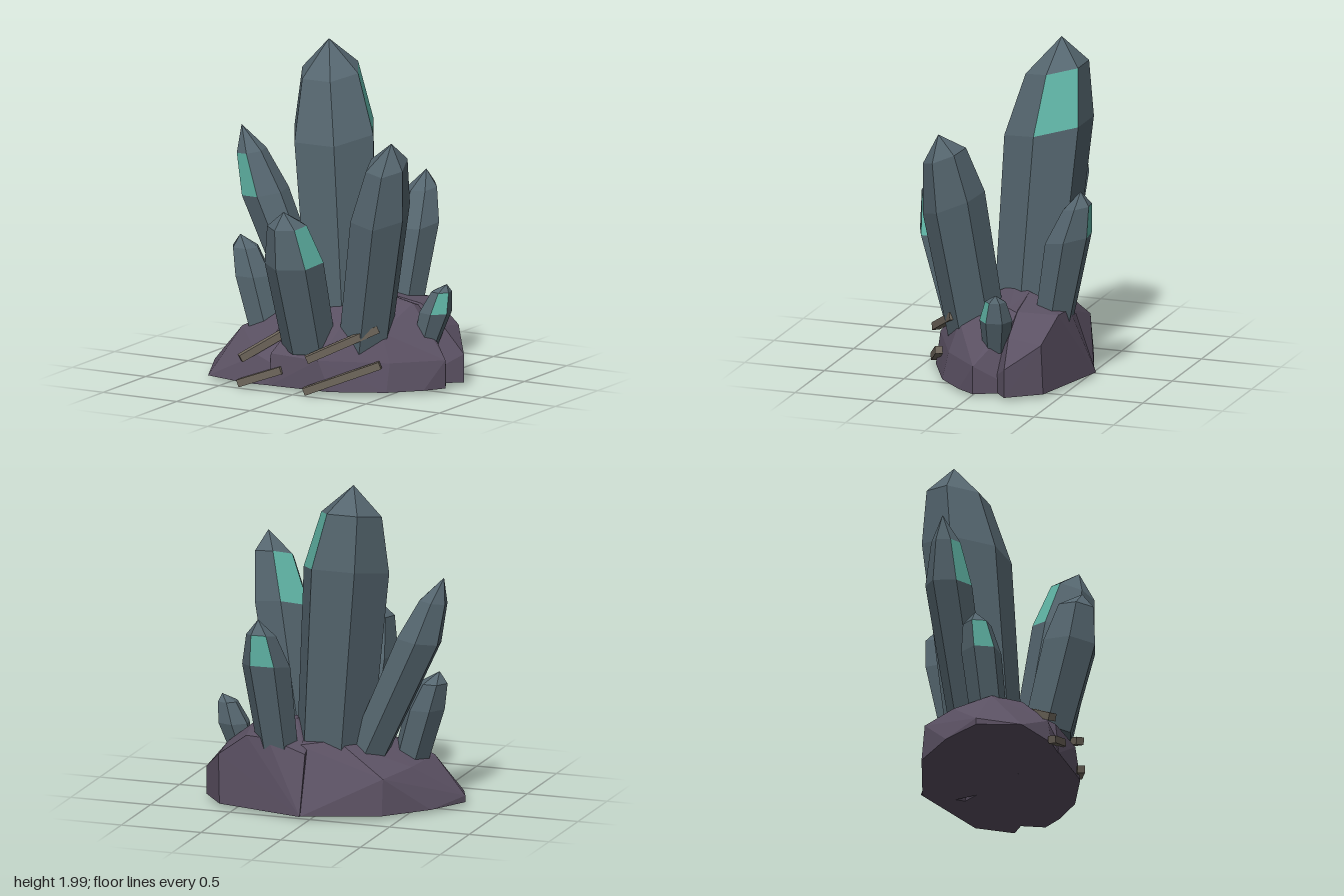
import * as THREE from 'three';
import { ConvexGeometry } from 'three/addons/geometries/ConvexGeometry.js';

const material = (name, color) => {
  const m = new THREE.MeshStandardMaterial({ color, flatShading: true });
  m.name = name;
  return m;
};

const SIDES = 6;

// Flat-shaded mesh from a list of triangle corners
function facetMesh(name, corners, mat) {
  const geo = new THREE.BufferGeometry().setFromPoints(corners);
  geo.computeVertexNormals();
  const mesh = new THREE.Mesh(geo, mat);
  mesh.name = name;
  return mesh;
}

// Six-sided crystal: rings of [x, y, z, radius] from root to shoulder, then a tip.
// One facet between the widest ring and the shoulder is coloured as a glint.
function crystal({ name, rings, tip, phase, glint, tilt = [0, 0] }, stone, shine) {
  const loops = rings.map(([x, y, z, r]) =>
    Array.from({ length: SIDES }, (_, i) => {
      const a = THREE.MathUtils.degToRad(phase + i * 360 / SIDES);
      const dx = r * Math.cos(a), dz = r * Math.sin(a);
      return new THREE.Vector3(x + dx, y + tilt[0] * dx + tilt[1] * dz, z + dz);
    }));
  const top = new THREE.Vector3(...tip);
  const root = new THREE.Vector3(...rings[0].slice(0, 3));
  const body = [], shiny = [];
  const last = loops.length - 1;
  for (let i = 0; i < SIDES; i++) {
    const j = (i + 1) % SIDES;
    for (let k = 0; k < last; k++) {
      const [lo, up] = [loops[k], loops[k + 1]];
      const target = k === last - 1 && i === glint ? shiny : body;
      target.push(lo[i], up[i], up[j], lo[i], up[j], lo[j]);
    }
    body.push(loops[last][i], top, loops[last][j]);
    body.push(root, loops[0][i], loops[0][j]);
  }
  const group = new THREE.Group();
  group.name = name;
  group.add(facetMesh(name + 'Body', body, stone), facetMesh(name + 'Glint', shiny, shine));
  return group;
}

const CRYSTALS = [
  { name: 'mainCrystal', phase: 0, glint: 5, tilt: [0, -0.2], tip: [-0.18, 2, -0.24],
    rings: [[-0.01, 0.3, -0.115, 0.232], [-0.115, 1.465, -0.185, 0.268], [-0.16, 1.815, -0.22, 0.19]] },
  { name: 'tallRightCrystal', phase: 14, glint: 3, tilt: [-0.05, -0.4], tip: [0.54, 1.54, 0.27],
    rings: [[0.28, 0.3, 0.125, 0.166], [0.43, 1.1, 0.213, 0.183], [0.495, 1.4, 0.248, 0.128]] },
  { name: 'leaningLeftCrystal', phase: 80, glint: 0, tilt: [0.12, -0.1], tip: [-0.7, 1.45, -0.11],
    rings: [[-0.23, 0.35, -0.13, 0.125], [-0.55, 1.06, -0.13, 0.14], [-0.635, 1.3, -0.115, 0.088]] },
  { name: 'smallLeftCrystal', phase: 0, glint: 2, tip: [-0.61, 0.83, 0.06],
    rings: [[-0.41, 0.22, 0.07, 0.11], [-0.52, 0.6, 0.065, 0.12], [-0.575, 0.76, 0.06, 0.085]] },
  { name: 'frontCrystal', phase: 38, glint: 5, tilt: [0, -0.1], tip: [-0.05, 1.11, 0.52],
    rings: [[-0.01, 0.25, 0.28, 0.16], [-0.03, 0.79, 0.43, 0.175], [-0.05, 1.02, 0.48, 0.118]] },
  { name: 'backCrystal', phase: 52, glint: 3, tilt: [0, -0.2], tip: [0.31, 1.21, -0.54],
    rings: [[0.25, 0.32, -0.34, 0.12], [0.29, 0.91, -0.455, 0.145], [0.3, 1.11, -0.515, 0.09]] },
  { name: 'smallRightCrystal', phase: 18, glint: 0, tip: [0.68, 0.63, -0.14],
    rings: [[0.56, 0.26, -0.1, 0.075], [0.615, 0.46, -0.12, 0.098], [0.65, 0.585, -0.13, 0.062]] },
];

// Overlapping boulders, each the hull of a few points
const ROCKS = {
  leftRock: [
    [-0.75, 0.03, 0.12], [-0.75, 0.07, 0.12], [-0.65, 0.03, 0.37], [-0.35, 0.03, 0.44], [-0.4, 0.03, -0.36],
    [-0.62, 0.03, -0.12], [0.05, 0.03, -0.53], [0.1, 0.03, 0.4], [-0.3, 0.2, 0.4], [-0.55, 0.3, 0.14],
    [-0.5, 0.28, -0.12], [-0.4, 0.25, -0.34], [-0.2, 0.46, 0.02], [-0.2, 0.4, 0.2], [-0.1, 0.45, -0.3],
    [0.1, 0.5, -0.1], [0.12, 0.42, -0.37], [0.2, 0.03, -0.47],
  ],
  rightRock: [
    [-0.2, 0.03, 0.43], [0.2, 0.03, 0.41], [0.5, 0.03, 0.26], [0.66, 0.03, 0.1], [0.74, 0.03, -0.02],
    [0.74, 0.2, -0.02], [0.5, 0.2, 0.22], [0.12, 0.21, 0.41], [-0.2, 0.22, 0.41], [-0.15, 0.38, 0.2],
    [0.12, 0.54, -0.06], [0.2, 0.42, 0.24], [0.42, 0.37, 0.18], [0.45, 0.49, -0.14], [0.46, 0.46, -0.22],
    [0.2, 0.53, -0.18], [0.3, 0.03, -0.46], [0.6, 0.03, -0.28],
  ],
  backRock: [
    [0.05, 0.03, -0.54], [0.06, 0.38, -0.42], [0.28, 0.47, -0.46], [0.42, 0.47, -0.44], [0.61, 0.33, -0.4],
    [0.6, 0.03, -0.41], [0.75, 0.2, -0.22], [0.75, 0.03, -0.22], [0.62, 0.36, -0.2], [0.47, 0.48, -0.2],
    [0.2, 0.53, -0.18], [0.5, 0.03, 0], [0.1, 0.48, -0.1],
  ],
};

// Wooden sticks: start and end of each
const STICKS = [
  [[-0.38, 0.18, 0.46], [-0.16, 0.34, 0.25]],
  [[-0.39, 0.03, 0.46], [-0.12, 0.13, 0.42]],
  [[0.07, 0.22, 0.46], [0.42, 0.4, 0.22]],
  [[0.06, 0.03, 0.47], [0.475, 0.2, 0.29]],
];

export function createModel() {
  const stone = material('crystal slate', 0x55666f);
  const shine = material('crystal teal', 0x60b5a6);
  const rock = material('rock purple', 0x5b5163);
  const wood = material('wood brown', 0x6f675c);

  const model = new THREE.Group();
  model.name = 'crystalCluster';

  for (const c of CRYSTALS) model.add(crystal(c, stone, shine));

  for (const [name, points] of Object.entries(ROCKS)) {
    const mesh = new THREE.Mesh(new ConvexGeometry(points.map(p => new THREE.Vector3(...p))), rock);
    mesh.name = name;
    model.add(mesh);
  }

  STICKS.forEach(([from, to], i) => {
    const a = new THREE.Vector3(...from), b = new THREE.Vector3(...to);
    const mesh = new THREE.Mesh(new THREE.BoxGeometry(0.045, 0.045, a.distanceTo(b)), wood);
    mesh.position.copy(a).lerp(b, 0.5);
    mesh.lookAt(b);
    mesh.name = 'stick' + (i + 1);
    model.add(mesh);
  });

  return model;
}
